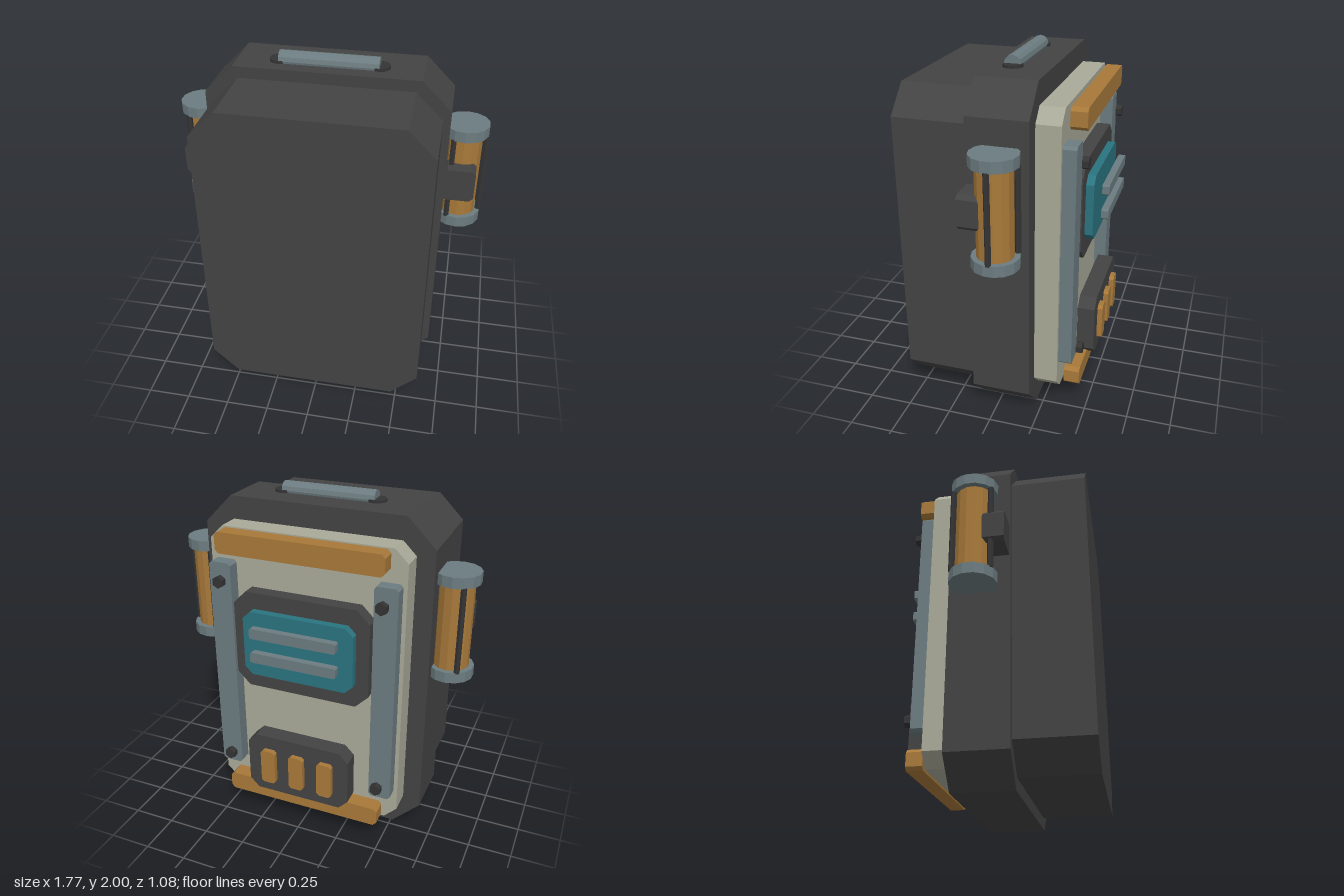
import * as THREE from 'three';

const mat = (name, color) => {
  const m = new THREE.MeshStandardMaterial({ color, flatShading: true });
  m.name = name;
  return m;
};

export function createModel() {
  const group = new THREE.Group();
  group.name = 'equipmentPack';
  const dark = mat('charcoal', 0x434343);
  const black = mat('dark rubber', 0x343434);
  const cream = mat('cream', 0xa9aa98);
  const steel = mat('steel', 0x6c7c80);
  const amber = mat('amber', 0xa8793a);
  const teal = mat('teal', 0x2a7480);
  const CX = -0.005; // shared centre line

  const add = (name, geo, material, x = 0, y = 0, z = 0, parent = group) => {
    const m = new THREE.Mesh(geo, material);
    m.name = name;
    m.position.set(x, y, z);
    parent.add(m);
    return m;
  };

  // Slab with cut corners, from y0 to y1 and z0 to z1, centred on x
  const slab = (name, material, x, w, y0, y1, z0, z1, c) => {
    const a = w / 2, b = (y1 - y0) / 2;
    const shape = new THREE.Shape([
      [a, -b + c], [a, b - c], [a - c, b], [-a + c, b],
      [-a, b - c], [-a, -b + c], [-a + c, -b], [a - c, -b],
    ].map(([u, v]) => new THREE.Vector2(u, v)));
    const geo = new THREE.ExtrudeGeometry(shape, { depth: z1 - z0, bevelEnabled: false });
    return add(name, geo, material, x, (y0 + y1) / 2, z0);
  };

  // Main shell
  slab('frontShell', dark, CX, 1.26, 0.07, 1.875, 0.12, 0.54, 0.15);
  slab('middleShell', dark, CX, 1.34, 0, 1.94, -0.21, 0.125, 0.162);
  slab('backPanel', cream, CX, 1.135, 0.13, 1.81, -0.345, -0.2, 0.075);

  // Amber bumper bars on the back
  slab('upperBar', amber, CX, 0.96, 1.69, 1.81, -0.455, -0.365, 0.02);
  slab('lowerBar', amber, CX, 0.96, 0.135, 0.25, -0.455, -0.365, 0.02);

  // Side rails with hex bolts
  for (const s of [-1, 1]) {
    slab('rail', steel, CX + s * 0.48, 0.13, 0.32, 1.625, -0.42, -0.34, 0.015);
    for (const y of [0.4, 1.525]) {
      const bolt = add('bolt', new THREE.CylinderGeometry(0.035, 0.035, 0.035, 6), black, CX + s * 0.47, y, -0.4525);
      bolt.rotation.x = Math.PI / 2;
    }
  }

  // Display with two slats
  slab('displayFrame', dark, CX, 0.8, 0.9, 1.48, -0.425, -0.34, 0.075);
  slab('displayScreen', teal, CX, 0.65, 1.0, 1.385, -0.47, -0.42, 0.045);
  for (const y of [1.145, 1.29]) slab('displaySlat', steel, CX, 0.505, y - 0.03, y + 0.03, -0.54, -0.5, 0.008);

  // Control box with three keys
  slab('controlBox', dark, CX, 0.63, 0.235, 0.615, -0.5, -0.4, 0.055);
  for (const i of [-1, 0, 1]) slab('controlKey', amber, CX + i * 0.178, 0.09, 0.31, 0.53, -0.53, -0.495, 0.015);

  // Carry handle on round feet
  const handle = add('handle', new THREE.CylinderGeometry(0.048, 0.048, 0.545, 12), steel, CX, 1.952, 0);
  handle.rotation.z = Math.PI / 2;
  for (const s of [-1, 1]) {
    add('handleFoot', new THREE.CylinderGeometry(0.056, 0.056, 0.03, 14), black, CX + s * 0.2725, 1.94, -0.003);
  }

  // Side canisters: tank, end caps, three guard rods and a clamp
  for (const s of [-1, 1]) {
    const can = new THREE.Group();
    can.name = s > 0 ? 'leftCanister' : 'rightCanister';
    can.position.set(CX + s * 0.755, 1.33, -0.057);
    group.add(can);
    add('tank', new THREE.CylinderGeometry(0.1, 0.1, 0.5, 14), amber, 0, 0, 0, can);
    for (const t of [-1, 1]) {
      add('endCap', new THREE.CylinderGeometry(0.13, 0.13, 0.062, 14), steel, 0, t * 0.277, 0, can);
    }
    for (let i = 0; i < 3; i++) {
      const a = (i * Math.PI * 2) / 3;
      add('guardRod', new THREE.CylinderGeometry(0.017, 0.017, 0.5, 6), black, 0.118 * Math.cos(a), 0, 0.118 * Math.sin(a), can);
    }
    slab('canisterClamp', dark, CX + s * 0.745, 0.18, 1.235, 1.425, 0, 0.12, 0.022);
  }
  return group;
}
